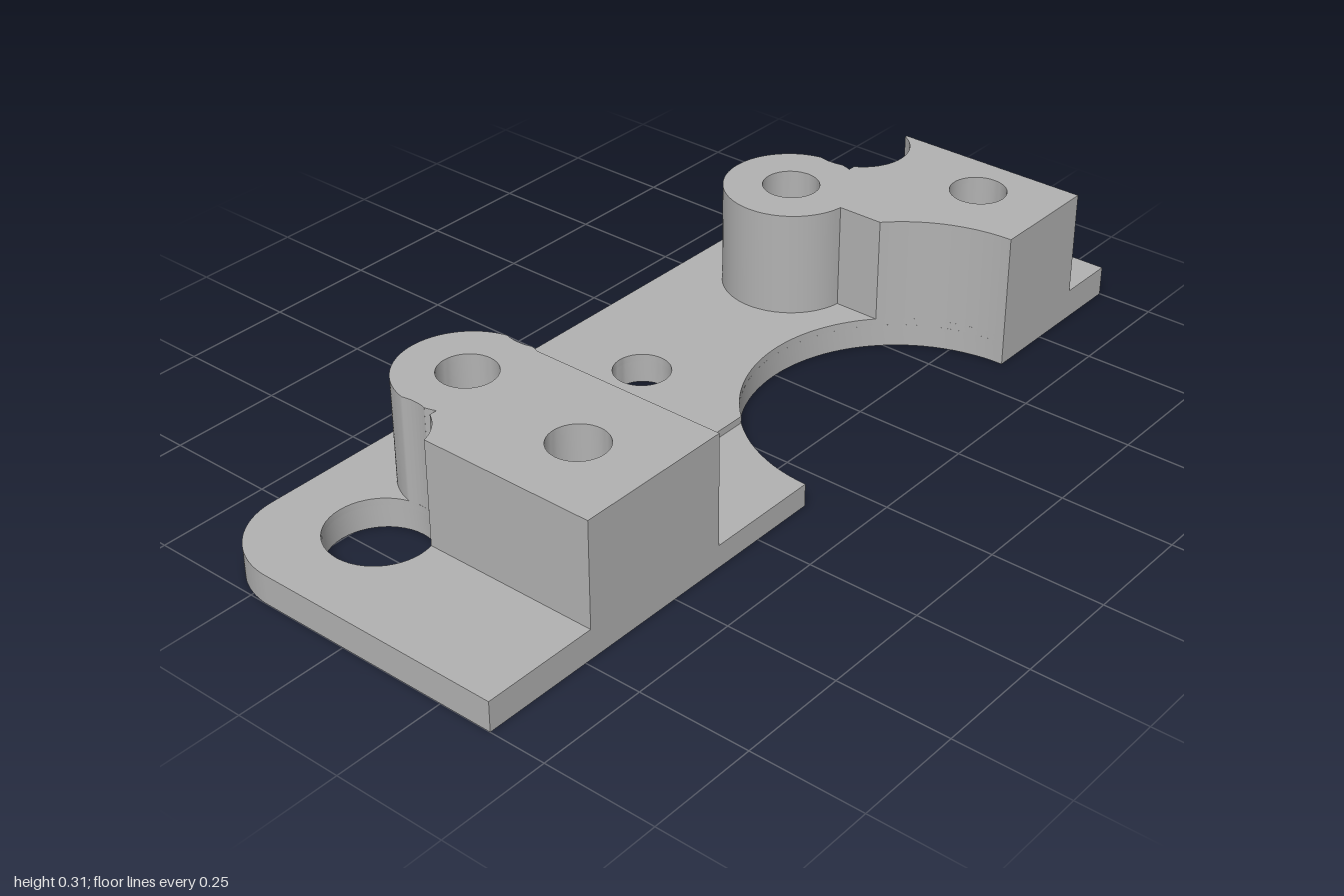
import * as THREE from 'three';
import { toCreasedNormals } from 'three/addons/utils/BufferGeometryUtils.js';

const FRONT = 0.372, FLOOR = 0.052, DECK = 0.068, TOP = 0.307;
const BIG = 0.112, SMALL = 0.063, BOSS = 0.15, NOTCH = 0.35, CORNER = 0.17;

// Centres are [x, z]
const notch = [0.25, FRONT];
const bigL = [-0.765, -0.14], bigM = [-0.257, -0.14], bigR = [0.76, -0.14];
const bossL = [-0.51, -0.14], bossR = [0.505, -0.14];
const screwL = [-0.56, 0.192], screwR = [0.743, 0.192], middle = [0, -0.14];
const pocketHole = [-0.257, 0.112];

// Outline steps: [x, z] is a corner, [centre, radius, from, to, clockwise] an arc
function outline(steps) {
  const shape = new THREE.Shape();
  steps.forEach((s, i) => {
    if (s.length === 2) {
      if (i === 0) shape.moveTo(s[0], s[1]);
      else shape.lineTo(s[0], s[1]);
      return;
    }
    const [c, r, from, to, cw] = s;
    const angle = (p) => Math.atan2(p[1] - c[1], p[0] - c[0]);
    shape.absarc(c[0], c[1], r, angle(from), angle(to), cw);
  });
  return shape;
}

function drill(shape, radius, centres) {
  for (const [x, z] of centres) {
    const hole = new THREE.Path();
    hole.absarc(x, z, radius, 0, Math.PI * 2, false);
    shape.holes.push(hole);
  }
  return shape;
}

// Extrude a plan drawn in x and z between two heights
function slab(name, shape, bottom, top, material) {
  const geo = new THREE.ExtrudeGeometry(shape, {
    depth: top - bottom, bevelEnabled: false, curveSegments: 24,
  });
  geo.rotateX(Math.PI / 2).translate(0, top, 0);
  const mesh = new THREE.Mesh(toCreasedNormals(geo, 0.5), material);
  mesh.name = name;
  return mesh;
}

export function createModel() {
  const group = new THREE.Group();
  group.name = 'mountingBracket';
  const grey = new THREE.MeshStandardMaterial({ color: 0xb2b2b2 });
  grey.name = 'grey';

  // Right side and rounded back corners shared by both plate layers
  const inner = FRONT - CORNER;
  const rim = [
    [1, FRONT],
    [[1 - CORNER, -inner], CORNER, [1, -inner], [1 - CORNER, -FRONT], true],
    [[CORNER - 1, -inner], CORNER, [CORNER - 1, -FRONT], [-1, -inner], true],
  ];
  const smallHoles = [bossL, bossR, middle, screwL, screwR];
  const bigHoles = [bigL, bigM, bigR];

  // Base plate up to the pocket floor
  const base = outline([
    [-1, FRONT], [-0.1, FRONT],
    [notch, NOTCH, [-0.1, FRONT], [0.6, FRONT], false],
    ...rim,
  ]);
  drill(base, BIG, bigHoles);
  drill(base, SMALL, [...smallHoles, pocketHole]);
  group.add(slab('basePlate', base, 0, FLOOR, grey));

  // Thin upper layer, leaving the shallow front pocket open
  const deck = outline([
    [-1, FRONT], [-0.37, FRONT], [-0.37, 0.135], [-0.316, 0.135],
    [pocketHole, SMALL, [-0.316, 0.135], [-0.198, 0.135], false],
    [-0.0075, 0.135],
    [notch, NOTCH, [-0.0075, 0.135], [0.6, FRONT], false],
    ...rim,
  ]);
  drill(deck, BIG, bigHoles);
  drill(deck, SMALL, smallHoles);
  group.add(slab('upperPlate', deck, FLOOR, DECK, grey));

  // Block on the -x side: box and round boss, relieved around two large holes
  const blockA = outline([
    [-0.735, FRONT], [-0.37, FRONT],
    [bossL, BOSS, [-0.37, -0.086], [-0.364, -0.106], true],
    [bigM, BIG, [-0.364, -0.106], [-0.364, -0.174], false],
    [bossL, BOSS, [-0.364, -0.174], [-0.657, -0.17], true],
    [bigL, BIG, [-0.657, -0.17], [-0.657, -0.11], false],
    [bossL, BOSS, [-0.657, -0.11], [-0.65, -0.085], true],
    [bigL, BIG, [-0.667, -0.085], [-0.735, -0.032], false],
  ]);
  drill(blockA, SMALL, [bossL, screwL]);
  group.add(slab('rightBlock', blockA, DECK, TOP, grey));

  // Block on the +x side, also cut by the round notch
  const blockB = outline([
    [0.6, FRONT], [0.863, FRONT], [0.863, -0.085],
    [bigR, BIG, [0.858, -0.085], [0.662, -0.085], false],
    [bossR, BOSS, [0.645, -0.085], [0.652, -0.11], true],
    [bigR, BIG, [0.652, -0.11], [0.652, -0.17], false],
    [bossR, BOSS, [0.652, -0.17], [0.487, 0.009], true],
    [notch, NOTCH, [0.487, 0.114], [0.6, FRONT], false],
  ]);
  drill(blockB, SMALL, [bossR, screwR]);
  group.add(slab('leftBlock', blockB, DECK, TOP, grey));

  return group;
}
